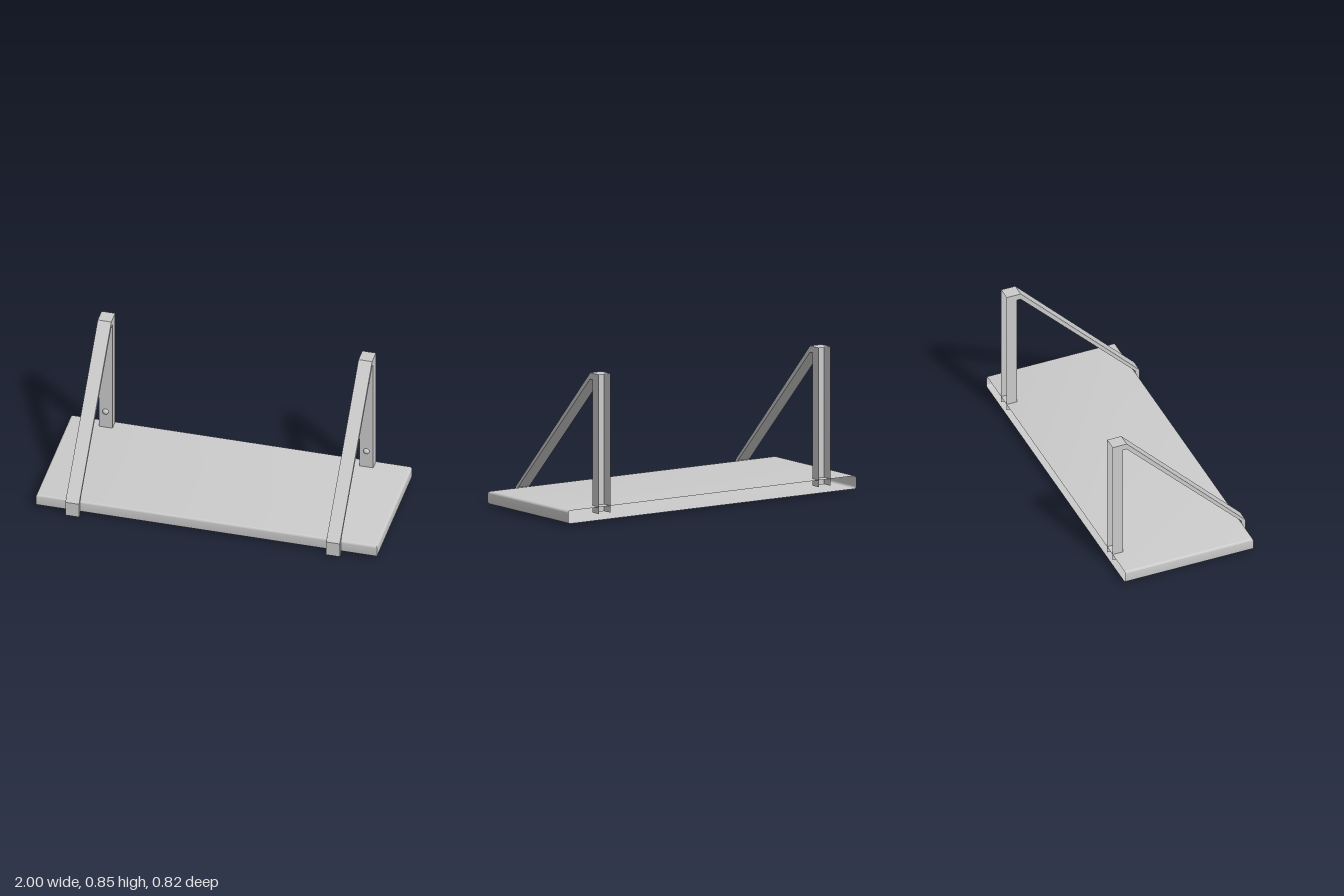
import * as THREE from 'three';
import { toCreasedNormals } from 'three/addons/utils/BufferGeometryUtils.js';

const material = new THREE.MeshStandardMaterial({ color: 0xcccccc, side: THREE.DoubleSide });
const BACK = -0.41, WEB = -0.347, TOP = 0.852, WIDTH = 0.08;

function part(name, geometry, parent) {
  const mesh = new THREE.Mesh(geometry, material);
  mesh.name = name;
  parent.add(mesh);
  return mesh;
}

// Hollow board: rounded on front and ends, open at the back
function boardGeometry() {
  const y0 = 0.015, y1 = 0.09, r = 0.013, steps = 5, rings = [];
  for (let i = 0; i <= steps; i++) {
    const a = (i / steps) * Math.PI / 2;
    rings.push([r * (1 - Math.sin(a)), y0 + r * (1 - Math.cos(a))]);
  }
  for (let i = steps; i >= 0; i--) rings.push([rings[i][0], y0 + y1 - rings[i][1]]);

  const positions = [], index = [];
  for (const [inset, y] of rings) {
    const x = 1 - inset, z = 0.383 - inset;
    positions.push(-x, y, BACK, -x, y, z, x, y, z, x, y, BACK);
  }
  for (let i = 0; i < rings.length - 1; i++) {
    for (let j = 0; j < 3; j++) {
      const a = i * 4 + j, b = a + 1;
      index.push(a, b, b + 4, a, b + 4, a + 4);
    }
  }
  const t = (rings.length - 1) * 4;
  index.push(0, 2, 1, 0, 3, 2, t, t + 1, t + 2, t, t + 2, t + 3);
  const geometry = new THREE.BufferGeometry();
  geometry.setAttribute('position', new THREE.Float32BufferAttribute(positions, 3));
  geometry.setIndex(index);
  return toCreasedNormals(geometry, 0.6);
}

// Channel with front, sides and top; back and bottom are open
function uprightGeometry() {
  const bottom = 0.05;
  const geometry = new THREE.BoxGeometry(WIDTH, TOP - bottom, WEB - BACK);
  const all = Array.from(geometry.index.array);
  geometry.setIndex([...all.slice(0, 18), ...all.slice(24, 30)]);
  geometry.clearGroups();
  geometry.translate(0, (TOP + bottom) / 2, (WEB + BACK) / 2);
  return geometry;
}

// Bent flat bar, drawn as (z, y) and extruded across the width
function braceGeometry() {
  const outline = [
    [0.411, 0], [0.411, 0.09], [-0.323, TOP], [WEB, TOP],
    [WEB, 0.815], [-0.323, 0.815], [0.385, 0.09], [0.385, 0],
  ];
  const shape = new THREE.Shape(outline.map(([z, y]) => new THREE.Vector2(-z, y)));
  const geometry = new THREE.ExtrudeGeometry(shape, { depth: WIDTH, bevelEnabled: false });
  geometry.translate(0, 0, -WIDTH / 2);
  geometry.rotateY(Math.PI / 2);
  return geometry;
}

export function createModel() {
  const model = new THREE.Group();
  model.name = 'wallShelf';
  part('board', boardGeometry(), model);

  const upright = uprightGeometry(), brace = braceGeometry();
  const dome = new THREE.SphereGeometry(0.018, 20, 8, 0, Math.PI * 2, 0, Math.PI / 2);
  dome.rotateX(Math.PI / 2);
  dome.scale(1, 1, 0.8);

  // Two identical brackets
  for (const [name, x] of [['rightBracket', -0.78], ['leftBracket', 0.748]]) {
    const bracket = new THREE.Group();
    bracket.name = name;
    bracket.position.x = x;
    part('upright', upright, bracket);
    part('brace', brace, bracket);
    for (const y of [0.2, 0.683]) part('screwHead', dome, bracket).position.set(0, y, WEB);
    model.add(bracket);
  }
  return model;
}
